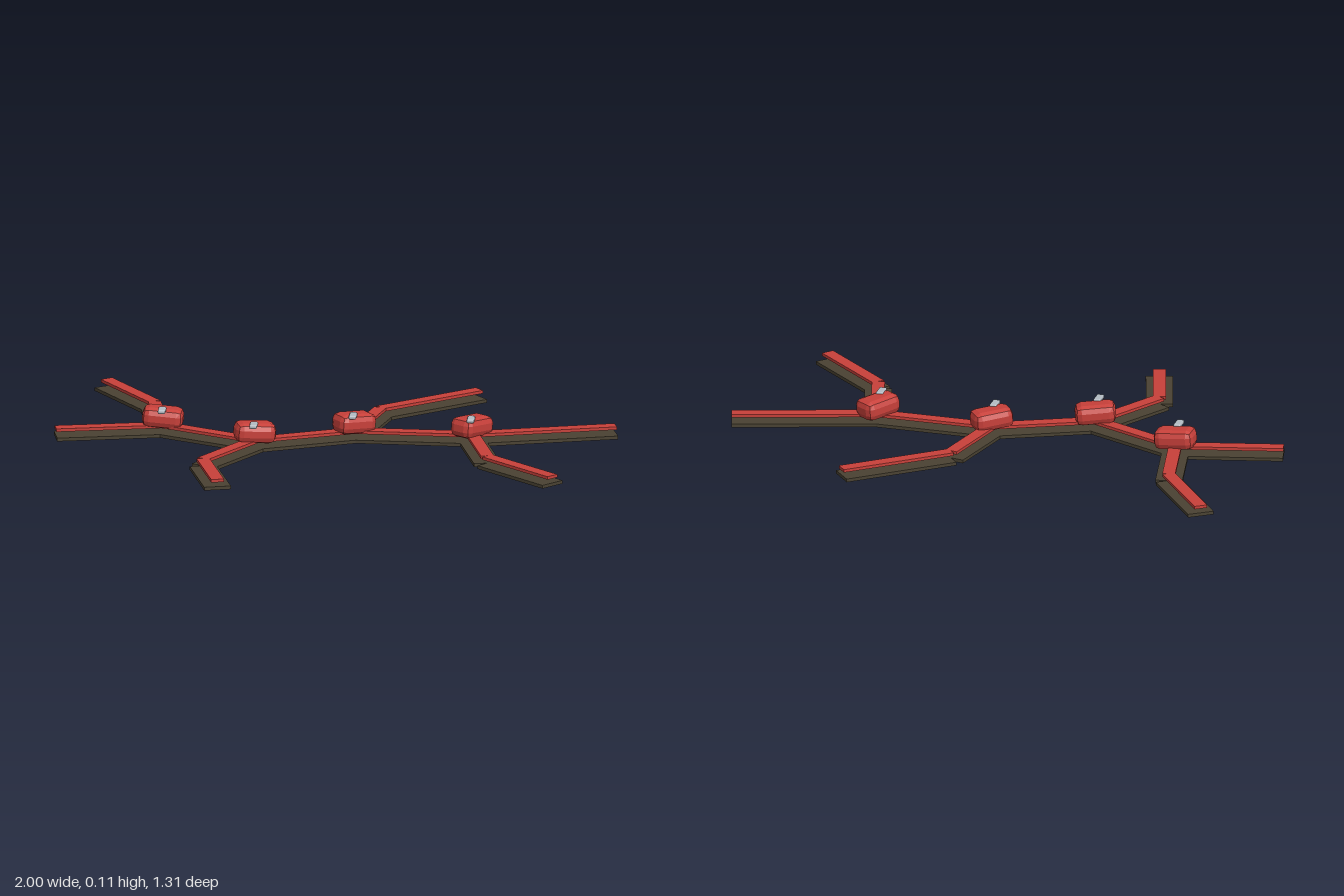
import * as THREE from 'three';
import { RoundedBoxGeometry } from 'three/addons/geometries/RoundedBoxGeometry.js';

const red = new THREE.MeshStandardMaterial({ color: 0xc8403a, flatShading: true });
const dark = new THREE.MeshStandardMaterial({ color: 0x4a4232 });
const grey = new THREE.MeshStandardMaterial({ color: 0xb4bcc4 });

// Junction points of the track, as [x, z]
const nodes = [[-0.615, -0.065], [-0.275, 0.1], [0.065, -0.05], [0.485, -0.04]];

// Each path is a run of straight strips
const paths = [
  [[-0.99, 0.017], ...nodes, [0.983, -0.182]],
  [nodes[0], [-0.67, -0.35], [-0.865, -0.627]],
  [nodes[1], [-0.435, 0.373], [-0.36, 0.638]],
  [nodes[2], [0.133, -0.34], [0.462, -0.605]],
  [nodes[3], [0.565, 0.252], [0.817, 0.487]],
];

// Flat strip between two floor points
function strip(name, [x0, z0], [x1, z1], width, bottom, height, material) {
  const length = Math.hypot(x1 - x0, z1 - z0);
  const mesh = new THREE.Mesh(new THREE.BoxGeometry(length, height, width), material);
  mesh.name = name;
  mesh.position.set((x0 + x1) / 2, bottom + height / 2, (z0 + z1) / 2);
  mesh.rotation.y = -Math.atan2(z1 - z0, x1 - x0);
  return mesh;
}

export function createModel() {
  const model = new THREE.Group();
  model.name = 'branchingTrack';

  // Dark base strips with a narrow red strip floating above
  for (const path of paths) {
    for (let i = 0; i < path.length - 1; i++) {
      model.add(strip('baseStrip', path[i], path[i + 1], 0.096, 0, 0.012, dark));
      model.add(strip('redStrip', path[i], path[i + 1], 0.046, 0.028, 0.011, red));
    }
  }

  // Faceted block on each junction, turned further each time, with a small grey tab
  const blockGeometry = new RoundedBoxGeometry(0.145, 0.072, 0.094, 1, 0.024);
  const tabGeometry = new RoundedBoxGeometry(0.027, 0.015, 0.056, 2, 0.006);
  nodes.forEach(([x, z], i) => {
    const block = new THREE.Mesh(blockGeometry, red);
    block.name = 'junctionBlock';
    block.position.set(x, 0.064, z);
    block.rotation.set(0, i * 0.31, -0.08);
    const tab = new THREE.Mesh(tabGeometry, grey);
    tab.name = 'junctionTab';
    tab.position.set(x, 0.1, z + 0.044);
    model.add(block, tab);
  });

  return model;
}
